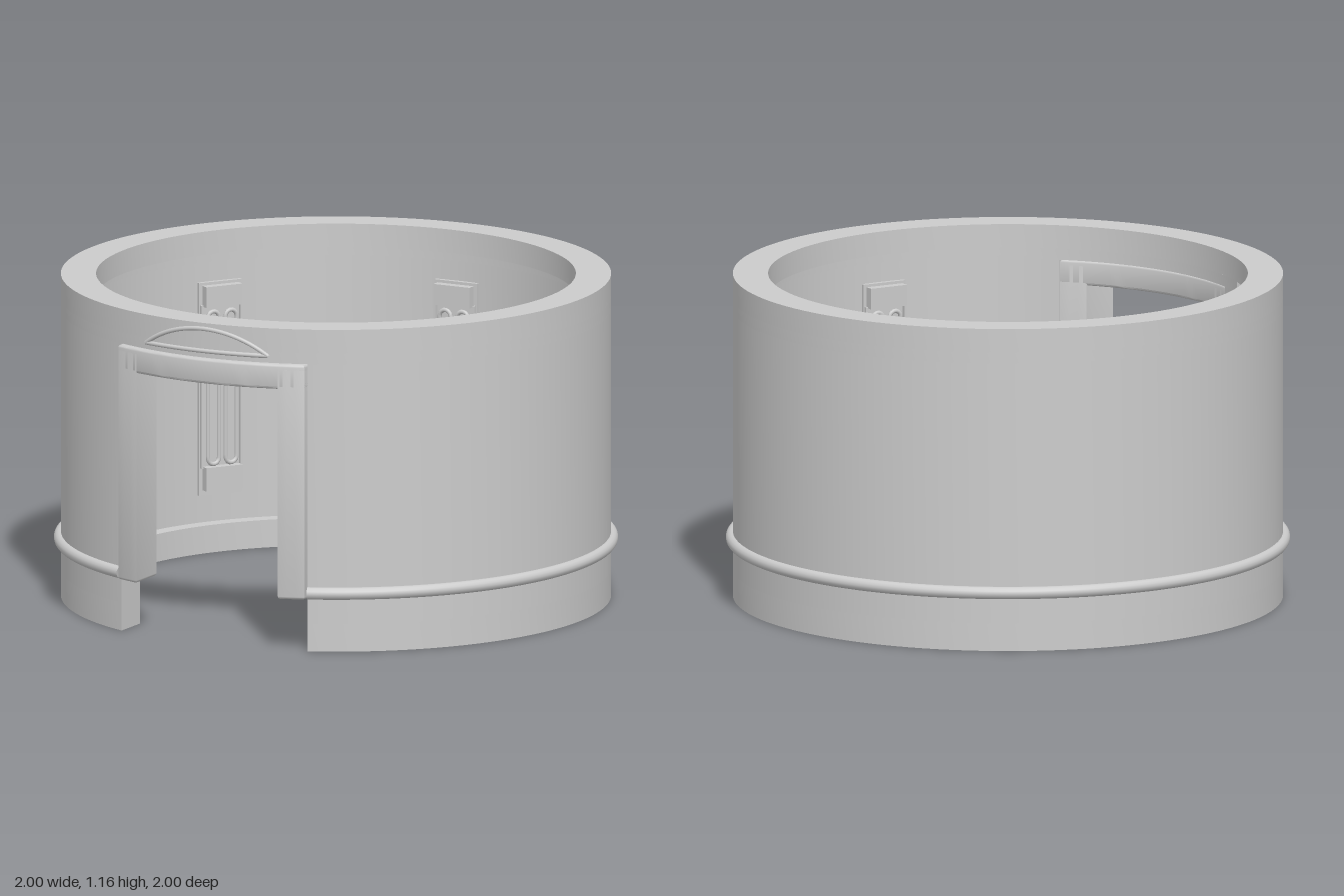
import * as THREE from 'three';
import { toCreasedNormals } from 'three/addons/utils/BufferGeometryUtils.js';

const TAU = Math.PI * 2;
const OUTER = 0.975, INNER = 0.85, RECESS = 0.905;
const DOOR = 0.375, POST = 0.475;
const material = new THREE.MeshStandardMaterial({ color: 0xcccccc });

function add(parent, name, geometry) {
  const mesh = new THREE.Mesh(geometry, material);
  mesh.name = name;
  parent.add(mesh);
  return mesh;
}

// Plan points on an arc; the angle is measured from the front (+z) towards +x
function arc(r, from, to) {
  const n = Math.max(2, Math.ceil(Math.abs(to - from) / TAU * 144));
  return Array.from({ length: n + 1 }, (_, i) => {
    const t = from + (to - from) * i / n;
    return new THREE.Vector2(r * Math.sin(t), -r * Math.cos(t));
  });
}
const at = (x, r) => Math.asin(x / r);

// Plan outline raised from y0 to y1
function slab(points, y0, y1, hole, bevel = 0) {
  const shape = new THREE.Shape(points);
  if (hole) shape.holes.push(new THREE.Path(hole));
  const g = new THREE.ExtrudeGeometry(shape, {
    depth: y1 - y0 - 2 * bevel, bevelEnabled: bevel > 0, bevelThickness: bevel,
    bevelSize: bevel, bevelOffset: -bevel, bevelSegments: 3,
  });
  g.rotateX(-Math.PI / 2).translate(0, y0 + bevel, 0);
  return toCreasedNormals(g, 0.6);
}

// Inner outline of the recessed wall, thick beside the doorway
function recessOutline(edge) {
  const b = at(POST, INNER), c = at(POST, RECESS);
  return [
    ...arc(INNER, TAU - edge, TAU - b),
    ...arc(RECESS, TAU - c, c),
    ...arc(INNER, b, edge),
  ];
}

function addWall(root) {
  const wall = new THREE.Group();
  wall.name = 'wall';
  root.add(wall);
  const o = at(DOOR, OUTER), i = at(DOOR, INNER);
  const outside = arc(OUTER, o, TAU - o);
  const circle = (r) => arc(r, 0, TAU).slice(0, -1);
  add(wall, 'bottomLip', slab([...outside, ...arc(INNER, TAU - i, i)], 0, 0.1));
  add(wall, 'mainWall', slab([...outside, ...recessOutline(i)], 0.1, 1.04));
  add(wall, 'wallAboveDoor', slab(circle(OUTER), 1.04, 1.08, recessOutline(0).slice(0, -1)));
  add(wall, 'topLip', slab(circle(OUTER), 1.08, 1.165, circle(INNER)));

  // Round moulding, broken at the doorway
  const gap = at(DOOR, 0.978);
  const ring = new THREE.TorusGeometry(0.978, 0.022, 14, 144, TAU - 2 * gap);
  ring.rotateZ(-Math.PI / 2 + gap).rotateX(-Math.PI / 2).translate(0, 0.211, 0);
  add(wall, 'baseMoulding', ring);
}

function addDoorFrame(root) {
  const frame = new THREE.Group();
  frame.name = 'doorFrame';
  root.add(frame);
  const R = 0.998, r = 0.855;
  const block = (x0, x1) => [...arc(R, at(x0, R), at(x1, R)), ...arc(r, at(x1, r), at(x0, r))];
  add(frame, 'leftJamb', slab(block(0.285, DOOR), 0.19, 1.03, null, 0.01));
  add(frame, 'rightJamb', slab(block(-DOOR, -0.285), 0.19, 1.03, null, 0.01));
  add(frame, 'header', slab(block(-DOOR, DOOR), 0.95, 1.04, null, 0.01));
}

// Curved segment-shaped plate with a thin rim above the door
function addArchPlate(root) {
  const plate = new THREE.Group();
  plate.name = 'archPlate';
  root.add(plate);
  const half = 0.245, rise = 0.08, base = 1.067;
  const R = (half * half + rise * rise) / (2 * rise);
  const top = (x) => Math.sqrt(R * R - x * x) - R + rise;
  const g = new THREE.BoxGeometry(2 * half, 1, 1, 40, 1, 1);
  const p = g.attributes.position;
  for (let i = 0; i < p.count; i++) {
    const x = p.getX(i), radius = 0.977 + p.getZ(i) * 0.018;
    p.setXYZ(i, x, base + (p.getY(i) + 0.5) * Math.max(0, top(x)), Math.sqrt(radius * radius - x * x));
  }
  g.computeVertexNormals();
  add(plate, 'archPanel', g);
  for (const [name, scale] of [['archRim', 1], ['sillRim', 0]]) {
    const pts = Array.from({ length: 25 }, (_, i) => {
      const x = half * (i / 12 - 1);
      return new THREE.Vector3(x, base + scale * top(x), Math.sqrt(0.988 ** 2 - x * x));
    });
    add(plate, name, new THREE.TubeGeometry(new THREE.CatmullRomCurve3(pts), 48, 0.008, 8));
  }
}

// Wall unit with end blocks and upright looped tubes
function addWallUnit(root, angle) {
  const unit = new THREE.Group();
  unit.name = 'wallUnit';
  unit.rotation.y = angle;
  root.add(unit);
  const box = (name, w, y0, y1, z0, z1, x = 0) => add(unit, name,
    new THREE.BoxGeometry(w, y1 - y0, z1 - z0).translate(x, (y0 + y1) / 2, (z0 + z1) / 2));
  box('backPlate', 0.17, 0.2, 0.97, 0.888, 0.906);
  box('bottomBlock', 0.145, 0.22, 0.305, 0.856, 0.89);
  box('topBlock', 0.145, 0.885, 0.96, 0.856, 0.89);
  for (const s of [-1, 1]) {
    box('sideRail', 0.008, 0.3, 0.89, 0.875, 0.89, s * 0.078);
    const pts = [];
    for (const [cy, start] of [[0.845, 0], [0.335, Math.PI]]) {
      for (let i = 0; i <= 8; i++) {
        const t = start + Math.PI * i / 8;
        pts.push(new THREE.Vector3(s * 0.035 + 0.022 * Math.cos(t), cy + 0.022 * Math.sin(t), 0.874));
      }
    }
    const loop = new THREE.CurvePath();
    pts.forEach((a, i) => loop.add(new THREE.LineCurve3(a, pts[(i + 1) % pts.length])));
    add(unit, 'loopTube', new THREE.TubeGeometry(loop, 120, 0.008, 8, true));
  }
}

export function createModel() {
  const root = new THREE.Group();
  root.name = 'roundWallSection';
  addWall(root);
  addDoorFrame(root);
  addArchPlate(root);
  for (let i = -2; i <= 2; i++) addWallUnit(root, Math.PI + THREE.MathUtils.degToRad(56 * i));
  return root;
}
